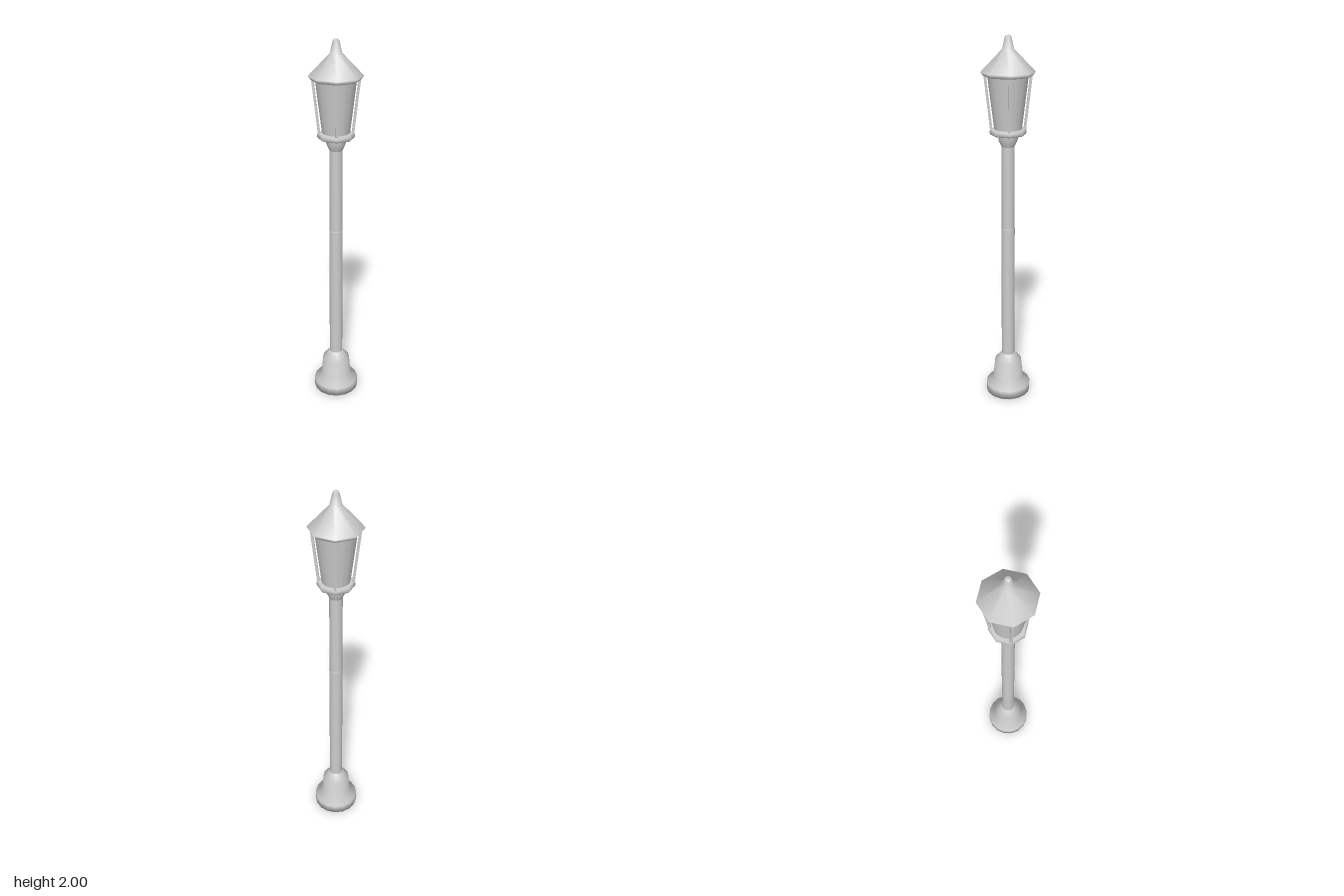
import * as THREE from 'three';

export function createModel() {
  const group = new THREE.Group();
  const paint = new THREE.MeshStandardMaterial({ color: 0xcccccc });
  paint.name = 'light grey paint';

  const add = (name, geometry) => {
    const mesh = new THREE.Mesh(geometry, paint);
    mesh.name = name;
    group.add(mesh);
    return mesh;
  };
  // Profile of [radius, height] pairs, from bottom to top
  const turned = (name, profile, sides) =>
    add(name, new THREE.LatheGeometry(profile.map(([r, y]) => new THREE.Vector2(r, y)), sides));

  // Stepped foot
  turned('base', [[0, 0], [0.125, 0], [0.125, 0.05], [0.085, 0.085], [0.075, 0.195], [0.035, 0.24]], 16);

  // Column and the flared collar under the lantern
  turned('lowerPole', [[0.036, 0.23], [0.036, 1.0], [0.034, 1.005]], 16);
  turned('upperPole', [[0.034, 1.0], [0.034, 1.455]], 16);
  turned('collar', [[0.034, 1.45], [0.05, 1.485], [0.05, 1.52]], 16);

  // Octagonal lantern floor
  turned('lanternFloor', [[0, 1.513], [0.09, 1.513], [0.095, 1.52], [0.095, 1.535], [0.088, 1.542], [0, 1.542]], 8);

  // Tapered lamp glass
  turned('lampGlass', [[0.07, 1.535], [0.104, 1.815]], 16);

  // Four slanted corner bars
  const up = new THREE.Vector3(0, 1, 0);
  for (let i = 0; i < 4; i++) {
    const a = Math.PI / 4 + (i * Math.PI) / 2;
    const at = (r, y) => new THREE.Vector3(r * Math.sin(a), y, r * Math.cos(a));
    const foot = at(0.085, 1.535), head = at(0.116, 1.815);
    const geometry = new THREE.BoxGeometry(0.013, foot.distanceTo(head), 0.013);
    geometry.rotateY(a);
    const bar = add('cornerBar' + (i + 1), geometry);
    bar.position.copy(foot).add(head).multiplyScalar(0.5);
    bar.quaternion.setFromUnitVectors(up, head.sub(foot).normalize());
  }

  // Octagonal roof with its finial
  turned('roof', [[0, 1.805], [0.122, 1.805], [0.138, 1.825], [0.03, 1.935], [0.017, 1.99], [0.011, 2], [0, 2]], 8);

  return group;
}
